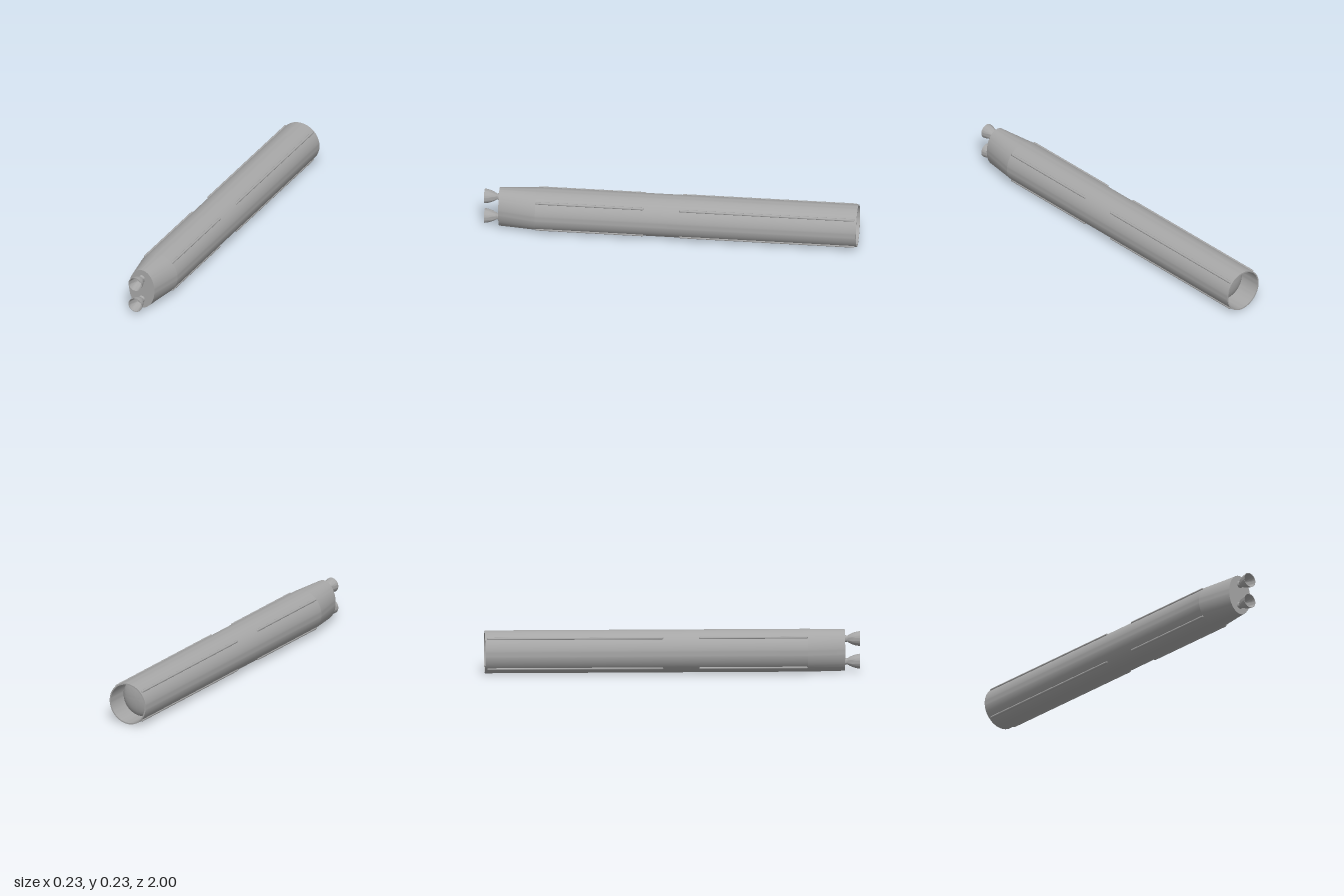
import * as THREE from 'three';
import { toCreasedNormals } from 'three/addons/utils/BufferGeometryUtils.js';

const R = 0.1143, CY = 0.116;

// Revolve [radius, z] points about the z axis, keeping hard edges
function revolve(points, segments) {
  const profile = points.map(([r, z]) => new THREE.Vector2(r, z));
  const g = new THREE.LatheGeometry(profile, segments);
  g.rotateX(Math.PI / 2);
  return toCreasedNormals(g, 0.6);
}

export function createModel() {
  const model = new THREE.Group();
  model.name = 'rocketStage';
  const grey = new THREE.MeshStandardMaterial({ color: 0xa6a6a6 });
  grey.name = 'grey';

  function add(name, geometry, x = 0, y = CY, z = 0) {
    const mesh = new THREE.Mesh(geometry, grey);
    mesh.name = name;
    mesh.position.set(x, y, z);
    model.add(mesh);
  }

  // Tank: recessed dome, open rear skirt, then the outer skin
  const inner = R - 0.007, body = [];
  for (let i = 0; i <= 10; i++) {
    const a = (i / 10) * Math.PI / 2;
    body.push([inner * Math.sin(a), -0.87 - 0.04 * Math.cos(a)]);
  }
  body.push([inner, -1], [R, -1], [R, 0.72]);
  add('tankBody', revolve(body, 72));

  // Engine section: circle lofted to a narrow ellipse
  const taper = new THREE.CylinderGeometry(1, 1, 1, 72, 1);
  const p = taper.attributes.position;
  for (let i = 0; i < p.count; i++) {
    const t = p.getY(i) + 0.5;
    p.setXYZ(i, p.getX(i) * THREE.MathUtils.lerp(R, 0.075, t),
      0.72 + 0.2 * t, p.getZ(i) * THREE.MathUtils.lerp(R, 0.111, t));
  }
  taper.rotateX(Math.PI / 2);
  add('engineSection', toCreasedNormals(taper, 0.6));

  // Two bell nozzles, with inner wall and throat plate
  const bell = revolve([
    [0.021, 0.915], [0.018, 0.926], [0.016, 0.933], [0.023, 0.944], [0.030, 0.959],
    [0.036, 0.977], [0.040, 1], [0.037, 1], [0.033, 0.977], [0.027, 0.959],
    [0.020, 0.946], [0.015, 0.939], [0, 0.939],
  ], 40);
  for (const s of [1, -1]) add(s > 0 ? 'upperNozzle' : 'lowerNozzle', bell, 0, CY + s * 0.061);

  // Cable conduits along the four diagonals, in two runs
  for (const [from, to] of [[-0.99, -0.05], [0.14, 0.72]]) {
    const rail = new THREE.CapsuleGeometry(0.007, to - from - 0.014, 5, 14);
    rail.rotateX(Math.PI / 2);
    for (const sx of [1, -1]) for (const sy of [1, -1]) {
      add('conduit', rail, sx * 0.081, CY + sy * 0.081, (from + to) / 2);
    }
  }
  return model;
}
